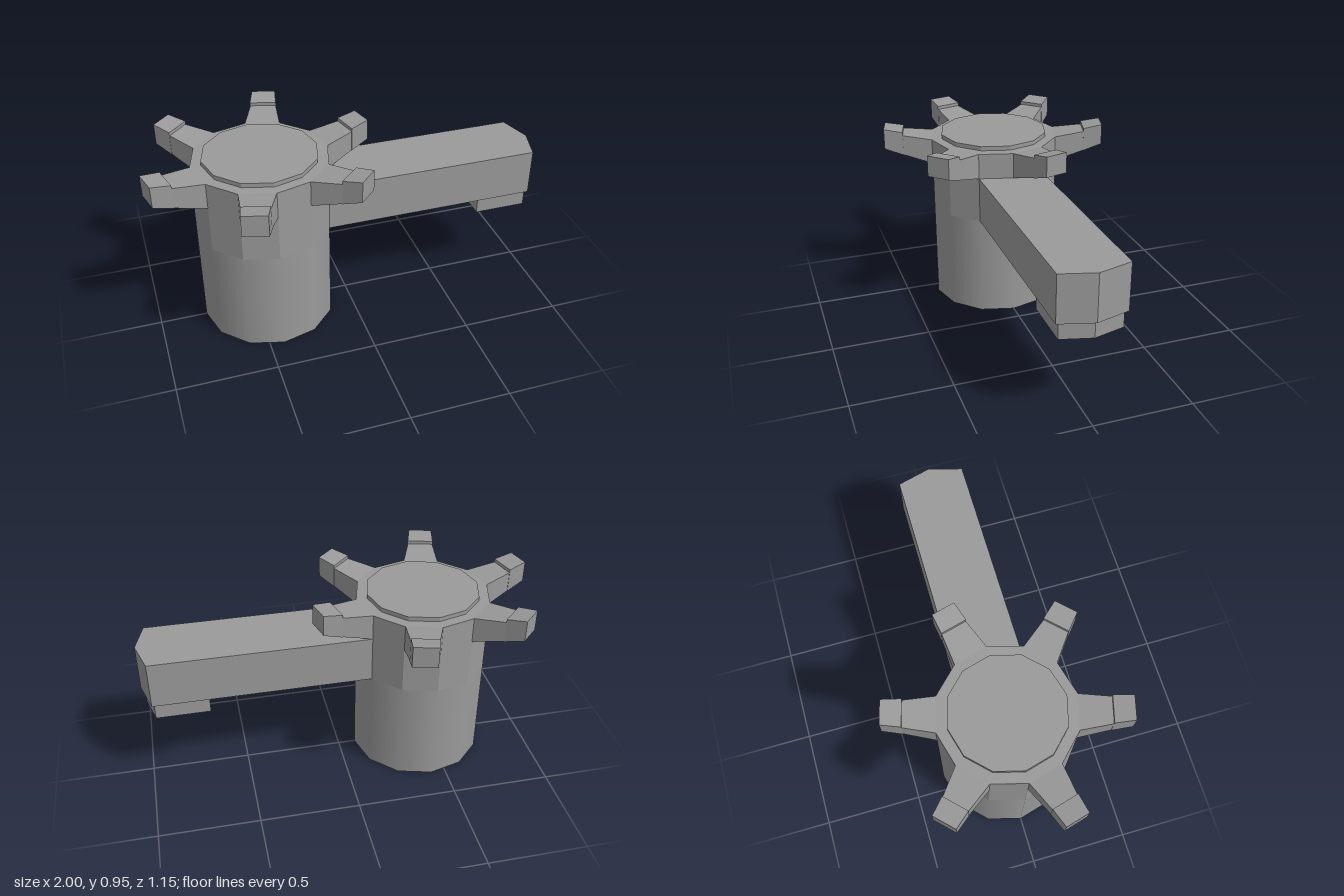
import * as THREE from 'three';

const AXIS_X = -0.426;
const RADIUS = 0.338;
const SIDES = 12;
const COLOR = 0x9a9a9a;
const smooth = new THREE.MeshStandardMaterial({ color: COLOR });
const flat = new THREE.MeshStandardMaterial({ color: COLOR, flatShading: true });

function add(parent, name, geometry, material = flat) {
  const mesh = new THREE.Mesh(geometry, material);
  mesh.name = name;
  parent.add(mesh);
}

// Twelve-sided drum between two heights
function drum(radius, y0, y1) {
  return new THREE.CylinderGeometry(radius, radius, y1 - y0, SIDES).translate(0, (y0 + y1) / 2, 0);
}

// Horizontal bar with a pointed front end
function pointedBar(x0, x1, tip, half, y0, y1) {
  const shape = new THREE.Shape([[x0, -half], [x1, -half], [tip, 0], [x1, half], [x0, half]]
    .map(([x, y]) => new THREE.Vector2(x, y)));
  return new THREE.ExtrudeGeometry(shape, { depth: y1 - y0, bevelEnabled: false })
    .rotateX(-Math.PI / 2).translate(0, y0, 0);
}

// Block along +x tapering between two sections { x, half, low, high }
function taperedBlock(inner, outer) {
  const geometry = new THREE.BoxGeometry(1, 1, 1);
  const p = geometry.attributes.position;
  for (let i = 0; i < p.count; i++) {
    const s = p.getX(i) > 0 ? outer : inner;
    p.setXYZ(i, s.x, p.getY(i) > 0 ? s.high : s.low, Math.sign(p.getZ(i)) * s.half);
  }
  geometry.computeVertexNormals();
  return geometry;
}

export function createModel() {
  const model = new THREE.Group();
  model.name = 'tap';

  // Body
  const body = new THREE.Group();
  body.name = 'body';
  body.position.x = AXIS_X;
  model.add(body);
  add(body, 'base', drum(RADIUS, 0, 0.532), smooth);
  add(body, 'collar', drum(RADIUS, 0.532, 0.77));

  // Spout with its outlet underneath
  const spout = new THREE.Group();
  spout.name = 'spout';
  model.add(spout);
  add(spout, 'spoutArm', pointedBar(-0.3, 0.953, 1, RADIUS / 2, 0.532, 0.77));
  add(spout, 'outlet', pointedBar(0.675, 0.942, 0.982, 0.153, 0.448, 0.54));

  // Handle: hub, raised cap and six spokes with stepped knobs
  const handle = new THREE.Group();
  handle.name = 'handle';
  handle.position.x = AXIS_X;
  model.add(handle);
  add(handle, 'hub', drum(RADIUS, 0.77, 0.902));
  add(handle, 'cap', drum(0.284, 0.9, 0.924));

  const spokeGeometry = taperedBlock(
    { x: 0.326, half: 0.0875, low: 0.77, high: 0.902 },
    { x: 0.49, half: 0.064, low: 0.818, high: 0.922 });
  const knobGeometry = taperedBlock(
    { x: 0.48, half: 0.067, low: 0.814, high: 0.938 },
    { x: 0.578, half: 0.06, low: 0.848, high: 0.955 });
  for (let i = 0; i < 6; i++) {
    const arm = new THREE.Group();
    arm.name = 'handleArm' + (i + 1);
    arm.rotation.y = Math.PI / 12 + i * Math.PI / 3;
    handle.add(arm);
    add(arm, 'spoke', spokeGeometry);
    add(arm, 'knob', knobGeometry);
  }
  return model;
}
